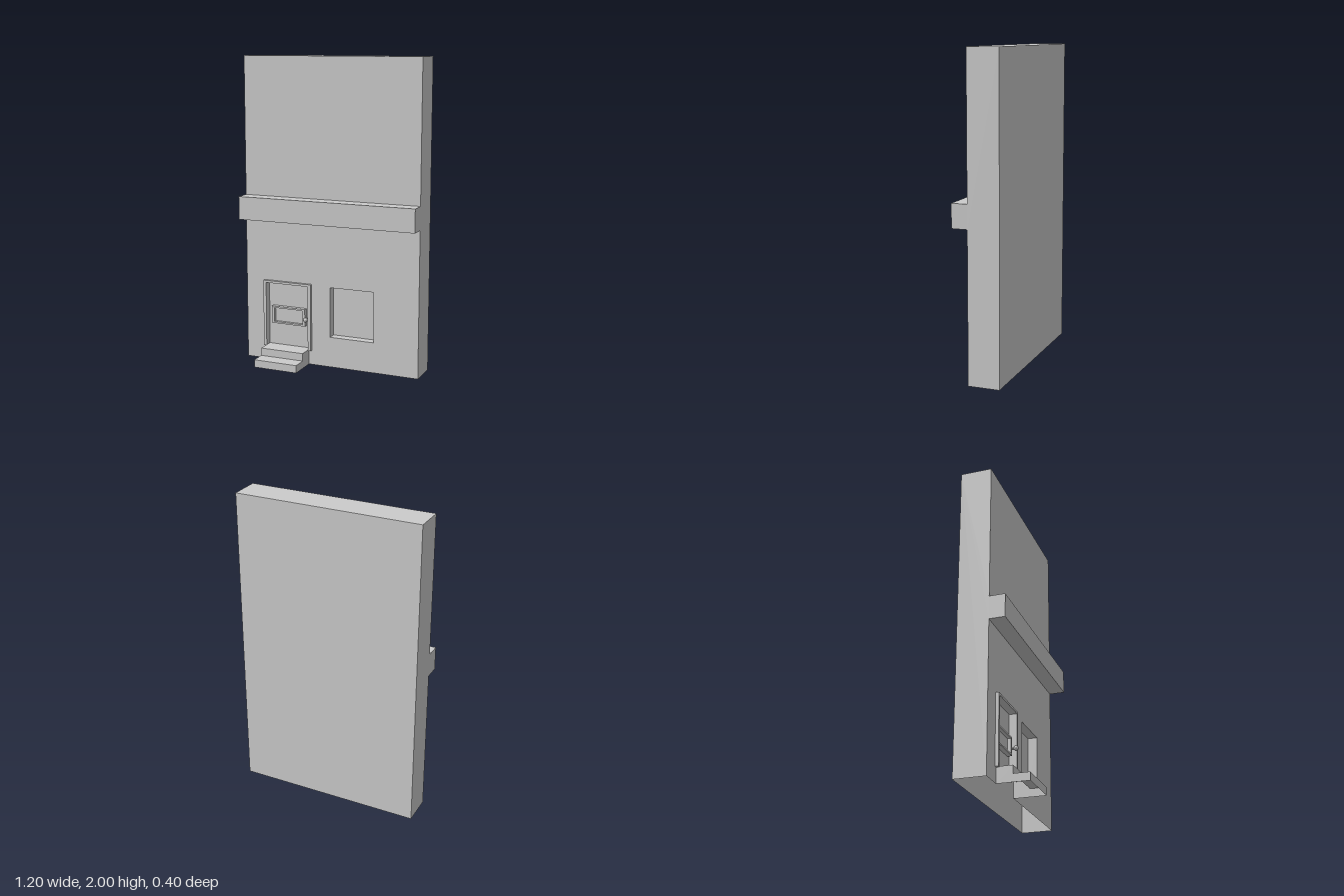
import * as THREE from 'three';

const material = new THREE.MeshStandardMaterial({ color: 0xcccccc, flatShading: true, side: THREE.DoubleSide });

function add(parent, name, geometry) {
  const mesh = new THREE.Mesh(geometry, material);
  mesh.name = name;
  parent.add(mesh);
  return mesh;
}

// Polygon from [x, y] points, with optional holes
function polygon(points, holes = []) {
  const toVectors = (list) => list.map(([x, y]) => new THREE.Vector2(x, y));
  const shape = new THREE.Shape(toVectors(points));
  shape.holes = holes.map((h) => new THREE.Path(toVectors(h)));
  return shape;
}

const rect = (x0, x1, y0, y1) => [[x0, y0], [x1, y0], [x1, y1], [x0, y1]];

// Open strip: a [z, y] profile carried across from x0 to x1
function strip(profile, x0, x1) {
  const positions = [];
  for (let i = 0; i < profile.length - 1; i++) {
    const [za, ya] = profile[i];
    const [zb, yb] = profile[i + 1];
    positions.push(x0, ya, za, x1, ya, za, x1, yb, zb);
    positions.push(x0, ya, za, x1, yb, zb, x0, yb, zb);
  }
  const geometry = new THREE.BufferGeometry();
  geometry.setAttribute('position', new THREE.Float32BufferAttribute(positions, 3));
  geometry.computeVertexNormals();
  return geometry;
}

// Matching flat faces of a [z, y] profile at x0 and x1
function sideFaces(parent, name, profile, x0, x1) {
  for (const x of [x0, x1]) {
    add(parent, name, new THREE.ShapeGeometry(polygon(profile)).rotateY(-Math.PI / 2).translate(x, 0, 0));
  }
}

export function createModel() {
  const model = new THREE.Group();
  model.name = 'buildingFront';

  const W = 0.6, BACK = -0.2;
  const door = { x0: -0.45, x1: -0.15, y0: 0.1, y1: 0.525, z: -0.03 };
  const win = { x0: 0, x1: 0.3, y0: 0.2, y1: 0.53, z: -0.06 };

  // Hollow wall with the ledge in one profile, open underneath
  const wall = new THREE.Group();
  wall.name = 'wall';
  model.add(wall);
  const upper = [[0, 0.95], [0.1, 0.95], [0.1, 1.1], [0, 1.1], [0, 2], [BACK, 2], [BACK, 0]];
  add(wall, 'ledgeAndUpperWall', strip(upper, -W, W));
  sideFaces(wall, 'wallSide', [[0, 0], ...upper], -W, W);

  // Lower wall, notched for the doorway and cut for the window
  const lower = [
    [-W, 0], [door.x0, 0], [door.x0, door.y1], [door.x1, door.y1],
    [door.x1, 0], [W, 0], [W, 0.95], [-W, 0.95],
  ];
  const windowHole = rect(win.x0, win.x1, win.y0, win.y1);
  add(wall, 'lowerWall', new THREE.ShapeGeometry(polygon(lower, [windowHole])));

  // Window recess
  const recess = [[0, win.y0], [win.z, win.y0], [win.z, win.y1], [0, win.y1]];
  add(model, 'windowRecess', strip(recess, win.x0, win.x1));
  sideFaces(model, 'windowJamb', recess, win.x0, win.x1);

  // Steps
  const steps = [[0.2, 0], [0.2, 0.05], [0.1, 0.05], [0.1, door.y0], [door.z, door.y0]];
  add(model, 'steps', strip(steps, door.x0, door.x1));
  sideFaces(model, 'stepSide', [[0, 0], ...steps.slice(0, 4), [0, door.y0]], door.x0, door.x1);

  // Door panel, set back in the wall
  const panel = [[door.z, door.y0], [door.z, door.y1], [0, door.y1]];
  add(model, 'doorPanel', strip(panel, door.x0, door.x1));
  sideFaces(model, 'doorJamb', [[0, door.y0], ...panel], door.x0, door.x1);

  // Raised surround on both sides and above the door
  const surround = polygon([
    [-0.47, 0.095], [door.x0, 0.095], [door.x0, door.y1], [door.x1, door.y1],
    [door.x1, 0.095], [-0.13, 0.095], [-0.13, 0.54], [-0.47, 0.54],
  ]);
  add(model, 'doorSurround', new THREE.ExtrudeGeometry(surround, { depth: 0.02, bevelEnabled: false }));

  // Small framed light in the door
  const frame = polygon(rect(-0.42, -0.18, 0.25, 0.365), [rect(-0.402, -0.198, 0.261, 0.354)]);
  add(model, 'doorWindowFrame', new THREE.ExtrudeGeometry(frame, { depth: 0.03, bevelEnabled: false }))
    .position.z = door.z;
  add(model, 'doorWindowPane', new THREE.PlaneGeometry(0.21, 0.1)).position.set(-0.3, 0.3075, -0.022);

  // Knob on a short stem
  add(model, 'doorKnob', new THREE.SphereGeometry(0.015, 12, 8)).position.set(-0.166, 0.302, 0.02);
  add(model, 'knobStem', new THREE.CylinderGeometry(0.006, 0.006, 0.045, 8).rotateX(Math.PI / 2))
    .position.set(-0.166, 0.302, -0.008);

  return model;
}
